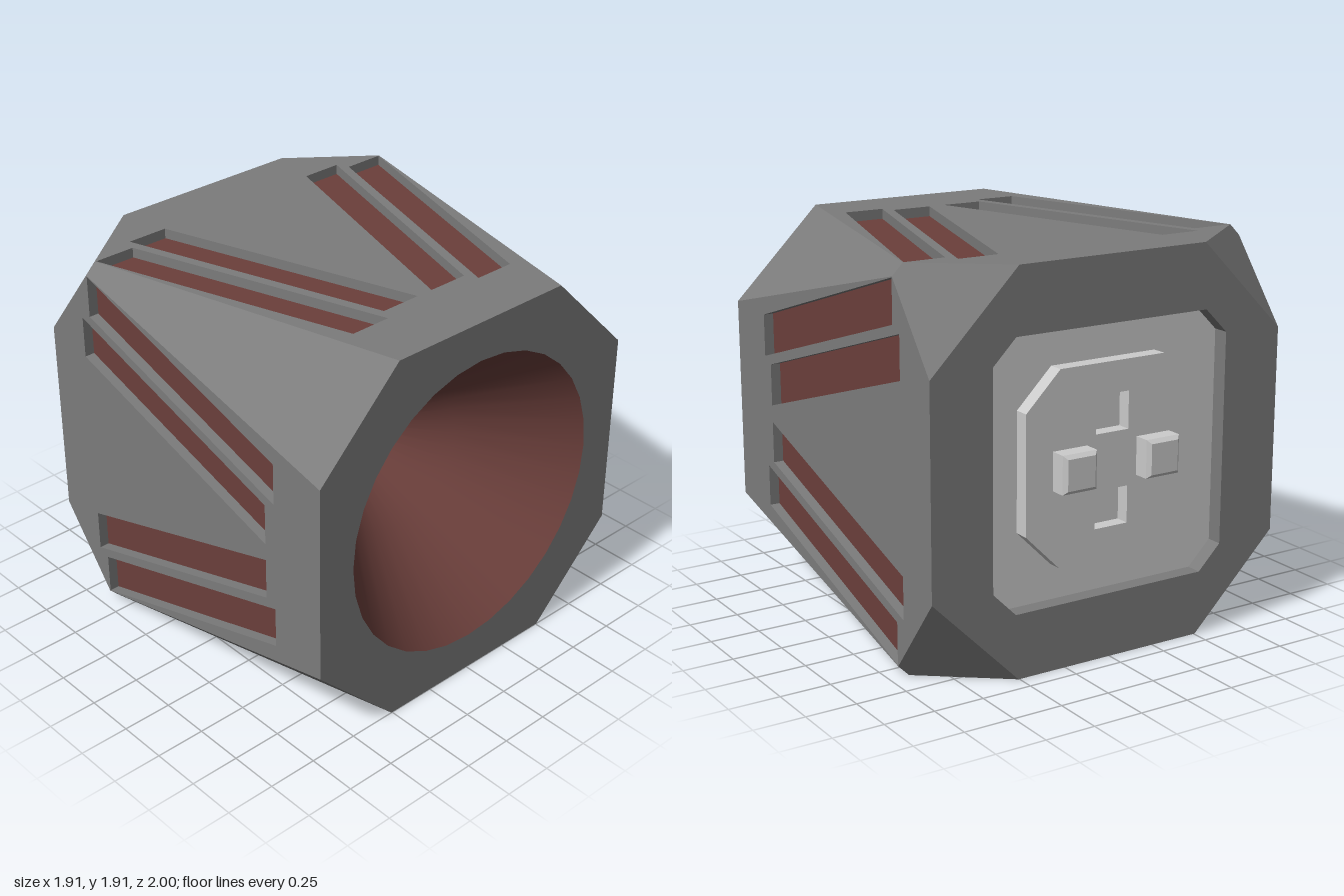
import * as THREE from 'three';
import { mergeGeometries } from 'three/addons/utils/BufferGeometryUtils.js';

const H = 0.955;                        // half width of the body
const FRONT = 1, WAIST = -0.6, BACK = -0.91;
const F = 0.505, E = 0.9;               // half length of the flat edges at the ends and at the waist

const casing = new THREE.MeshStandardMaterial({ color: 0x7c7c7c });
const red = new THREE.MeshStandardMaterial({ color: 0x6b3f3b });
const redInside = new THREE.MeshStandardMaterial({ color: 0x6b3f3b, side: THREE.DoubleSide });
const grey = new THREE.MeshStandardMaterial({ color: 0xcccccc });

const vec = (list) => list.map(([x, y]) => new THREE.Vector2(x, y));
const ccw = (pts) => (THREE.ShapeUtils.isClockWise(pts) ? pts.slice().reverse() : pts);

// Square outline with cut corners
function octagon(h, cut) {
  const c = h - cut;
  return vec([[h, -c], [h, c], [c, h], [-c, h], [-h, c], [-h, -c], [-c, -h], [c, -h]]);
}

function square(h, cx, cy) {
  return vec([[cx - h, cy - h], [cx + h, cy - h], [cx + h, cy + h], [cx - h, cy + h]]);
}

// Flat-shaded geometry from four-cornered faces
function quads(faces) {
  const pos = [];
  for (const [a, b, c, d] of faces) pos.push(...a, ...b, ...c, ...a, ...c, ...d);
  const g = new THREE.BufferGeometry();
  g.setAttribute('position', new THREE.Float32BufferAttribute(pos, 3));
  g.computeVertexNormals();
  return g;
}

// Walls sinking from z = 0 to -depth; a counter-clockwise outline faces inward
function walls(pts, depth) {
  return quads(pts.map((p, i) => {
    const q = pts[(i + 1) % pts.length];
    return [[p.x, p.y, 0], [q.x, q.y, 0], [q.x, q.y, -depth], [p.x, p.y, -depth]];
  }));
}

function flat(outline, holes = [], z = 0) {
  const shape = new THREE.Shape(outline);
  shape.holes = holes.map((h) => new THREE.Path(h));
  const g = new THREE.ShapeGeometry(shape).toNonIndexed();
  g.deleteAttribute('uv');
  return g.translate(0, 0, z);
}

// Flat plate whose holes have walls of the given depth
function plate(outline, holes, depth) {
  const parts = [flat(outline, holes)];
  if (depth) for (const h of holes) parts.push(walls(ccw(h), depth));
  return mergeGeometries(parts);
}

const floors = (holes, depth) => mergeGeometries(holes.map((h) => flat(h, [], -depth)));

function add(parent, name, geometry, material) {
  const mesh = new THREE.Mesh(geometry, material);
  mesh.name = name;
  parent.add(mesh);
  return mesh;
}

export function createModel() {
  const model = new THREE.Group();
  model.name = 'deviceHousing';
  model.position.y = H;

  // Front plate with a deep conical opening
  const R = 0.76, DEPTH = 1;
  const rim = Array.from({ length: 32 }, (_, i) =>
    new THREE.Vector2(R * Math.cos(i * Math.PI / 16), R * Math.sin(i * Math.PI / 16)));
  add(model, 'frontPlate', plate(octagon(H, H - F), [rim], 0).translate(0, 0, FRONT), casing);
  const cone = new THREE.LatheGeometry(vec([[0, -DEPTH], [R / 2, -DEPTH / 2], [R, 0]]), 32);
  add(model, 'frontCone', cone.rotateX(Math.PI / 2).translate(0, 0, FRONT), redInside);

  // Four sides with slanted slots, and the chamfers between them
  const slotDepth = 0.05;
  const sideOutline = vec([[-F, -FRONT], [F, -FRONT], [E, -WAIST], [F, -BACK], [-F, -BACK], [-E, -WAIST]]);
  const slots = [];
  for (const s of [1, -1]) {
    // u at the front end, u at the rear end, z at the front end, z at the rear end
    for (const [u0, u1, z0, z1] of [[0.283, 0.687, 0.7, -0.597], [0.043, 0.45, 0.64, -0.657]]) {
      const w = 0.208;
      slots.push(vec([[s * u0, -z0], [s * (u0 + w), -z0], [s * (u1 + w), -z1], [s * u1, -z1]]));
    }
  }
  const sideGeo = plate(sideOutline, slots, slotDepth).rotateX(-Math.PI / 2).translate(0, H, 0);
  const slotGeo = floors(slots.map(ccw), slotDepth).rotateX(-Math.PI / 2).translate(0, H, 0);
  const band = (k0, z0, k1, z1) => [[H, k0, z0], [H, k1, z1], [k1, H, z1], [k0, H, z0]];
  const chamferGeo = quads([band(F, FRONT, E, WAIST), band(E, WAIST, F, BACK)]);
  for (let i = 0; i < 4; i++) {
    const side = new THREE.Group();
    side.name = 'side' + (i + 1);
    side.rotation.z = i * Math.PI / 2;
    add(side, 'sidePlate', sideGeo, casing);
    add(side, 'slotFloors', slotGeo, red);
    add(side, 'cornerChamfer', chamferGeo, casing);
    model.add(side);
  }

  // Rear: recess, raised connector block, two sockets and two pins
  const rear = new THREE.Group();
  rear.name = 'rear';
  rear.rotation.y = Math.PI;
  rear.position.z = BACK;
  model.add(rear);
  const recess = octagon(0.64, 0.12), recessDepth = 0.08;
  add(rear, 'rearPlate', plate(octagon(H, H - F), [recess], recessDepth), casing);
  add(rear, 'recessFloor', floors([recess], recessDepth), grey);

  const block = octagon(0.465, 0.18), top = -0.005;
  const sockets = [square(0.09, 0, 0.225), square(0.09, 0, -0.225)];
  const blockGeo = mergeGeometries([
    plate(block, sockets, 0.07),
    floors(sockets, 0.07),
    walls(block.slice().reverse(), recessDepth + top),
  ]);
  add(rear, 'connectorBlock', blockGeo.translate(0, 0, top), grey);

  const bevel = 0.018;
  const pinGeo = new THREE.ExtrudeGeometry(new THREE.Shape(square(0.092 - bevel, 0, 0)), {
    depth: 0.1, bevelEnabled: true, bevelSize: bevel, bevelThickness: bevel, bevelSegments: 1,
  }).translate(0, 0, 0.09 - 0.1 - bevel);
  for (const s of [1, -1]) add(rear, s > 0 ? 'rightPin' : 'leftPin', pinGeo, grey).position.x = s * 0.23;

  return model;
}
